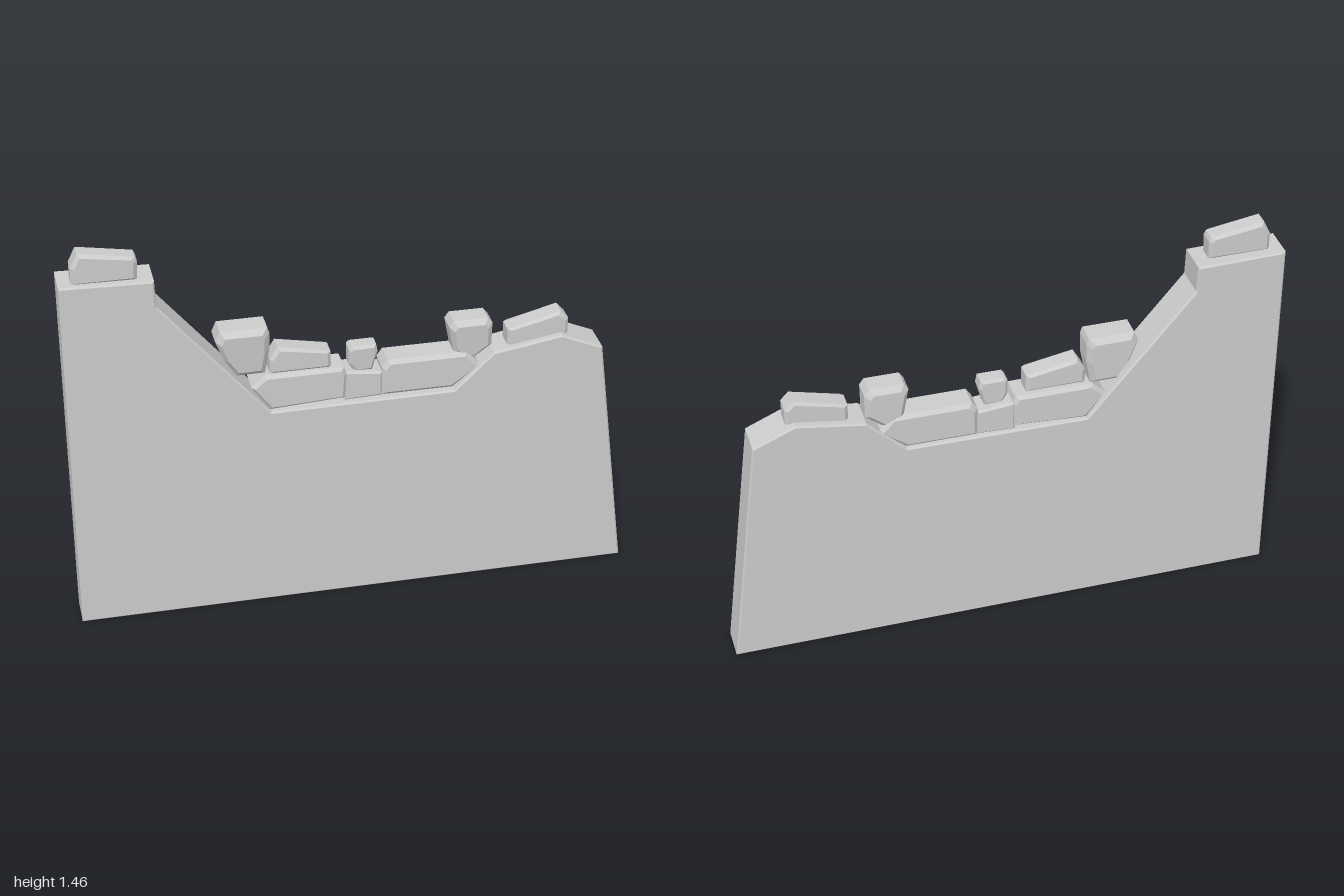
import * as THREE from 'three';
import { ConvexGeometry } from 'three/addons/geometries/ConvexGeometry.js';

const material = new THREE.MeshStandardMaterial({ color: 0xcccccc, flatShading: true });

// Stone: convex hull of a front outline, full in the middle and chipped at both faces.
// lean tilts the front face so that its lower part recedes.
function stone(name, outline, zBack, zFront, inset = 0.014, lean = 0) {
  const xs = outline.map((p) => p[0]), ys = outline.map((p) => p[1]);
  const x0 = Math.min(...xs), x1 = Math.max(...xs);
  const y0 = Math.min(...ys), y1 = Math.max(...ys);
  const cx = (x0 + x1) / 2, cy = (y0 + y1) / 2;
  const sx = 1 - (2 * inset) / (x1 - x0), sy = 1 - (2 * inset) / (y1 - y0);
  const points = [];
  for (const [x, y] of outline) {
    const front = zFront - lean * (1 - (y - y0) / (y1 - y0));
    const fx = cx + (x - cx) * sx, fy = cy + (y - cy) * sy;
    points.push(
      new THREE.Vector3(fx, fy, zBack),
      new THREE.Vector3(x, y, zBack + inset),
      new THREE.Vector3(x, y, front - inset),
      new THREE.Vector3(fx, fy, front)
    );
  }
  const mesh = new THREE.Mesh(new ConvexGeometry(points), material);
  mesh.name = name;
  return mesh;
}

// Wall slab with a broken top edge and a thin bevel
function wall() {
  const outline = [
    [-1, 0], [1, 0], [0.885, 0.905], [0.735, 0.97], [0.49, 0.93], [0.35, 0.795],
    [-0.3, 0.79], [-0.68, 1.25], [-0.683, 1.347], [-1, 1.355],
  ];
  const shape = new THREE.Shape(outline.map(([x, y]) => new THREE.Vector2(x, y)));
  const bevel = 0.006, depth = 0.132;
  const geometry = new THREE.ExtrudeGeometry(shape, {
    depth: depth - 2 * bevel, bevelEnabled: true, bevelSegments: 1,
    bevelSize: bevel, bevelThickness: bevel, bevelOffset: -bevel,
  });
  geometry.translate(0, 0, bevel - depth / 2);
  const mesh = new THREE.Mesh(geometry, material);
  mesh.name = 'wall';
  return mesh;
}

export function createModel() {
  const group = new THREE.Group();
  group.name = 'brokenWall';
  group.add(wall());

  // Course of bricks lying in the breach
  group.add(
    stone('rightBrick', [[-0.365, 0.885], [-0.32, 0.928], [-0.04, 0.928], [-0.03, 0.9],
      [-0.035, 0.805], [-0.3, 0.79]], -0.062, 0.055, 0.012),
    stone('middleBrick', [[-0.038, 0.905], [0.07, 0.885], [0.097, 0.89], [0.097, 0.795],
      [-0.04, 0.79]], -0.055, 0.045, 0.008),
    stone('leftBrick', [[0.095, 0.905], [0.115, 0.932], [0.4, 0.932], [0.447, 0.875],
      [0.35, 0.795], [0.095, 0.795]], -0.062, 0.05, 0.014)
  );

  // Loose stones along the top
  group.add(
    stone('topStone', [[-0.955, 1.345], [-0.955, 1.41], [-0.93, 1.462], [-0.74, 1.43],
      [-0.733, 1.415], [-0.735, 1.345]], -0.03, 0.047, 0.013),
    stone('rightBoulder', [[-0.484, 1.075], [-0.468, 1.112], [-0.305, 1.112], [-0.297, 1.09],
      [-0.297, 1.02], [-0.313, 0.928], [-0.41, 0.928], [-0.452, 0.99]], -0.062, 0.056, 0.02, 0.012),
    stone('flatStone', [[-0.298, 0.925], [-0.298, 0.98], [-0.27, 1.027], [-0.085, 0.99],
      [-0.083, 0.925]], -0.04, 0.042, 0.012),
    stone('smallStone', [[-0.02, 0.985], [-0.01, 0.995], [0.077, 0.995], [0.083, 0.965],
      [0.064, 0.893], [0, 0.893], [-0.02, 0.925]], -0.03, 0.036, 0.01, 0.005),
    stone('leftBoulder', [[0.335, 1.03], [0.35, 1.053], [0.473, 1.053], [0.49, 1.032],
      [0.49, 0.943], [0.425, 0.893], [0.355, 0.925]], -0.06, 0.048, 0.018, 0.01),
    stone('slantedStone', [[0.545, 0.93], [0.545, 0.998], [0.735, 1.05], [0.763, 1.02],
      [0.763, 0.96], [0.735, 0.93]], -0.04, 0.042, 0.012)
  );
  return group;
}
